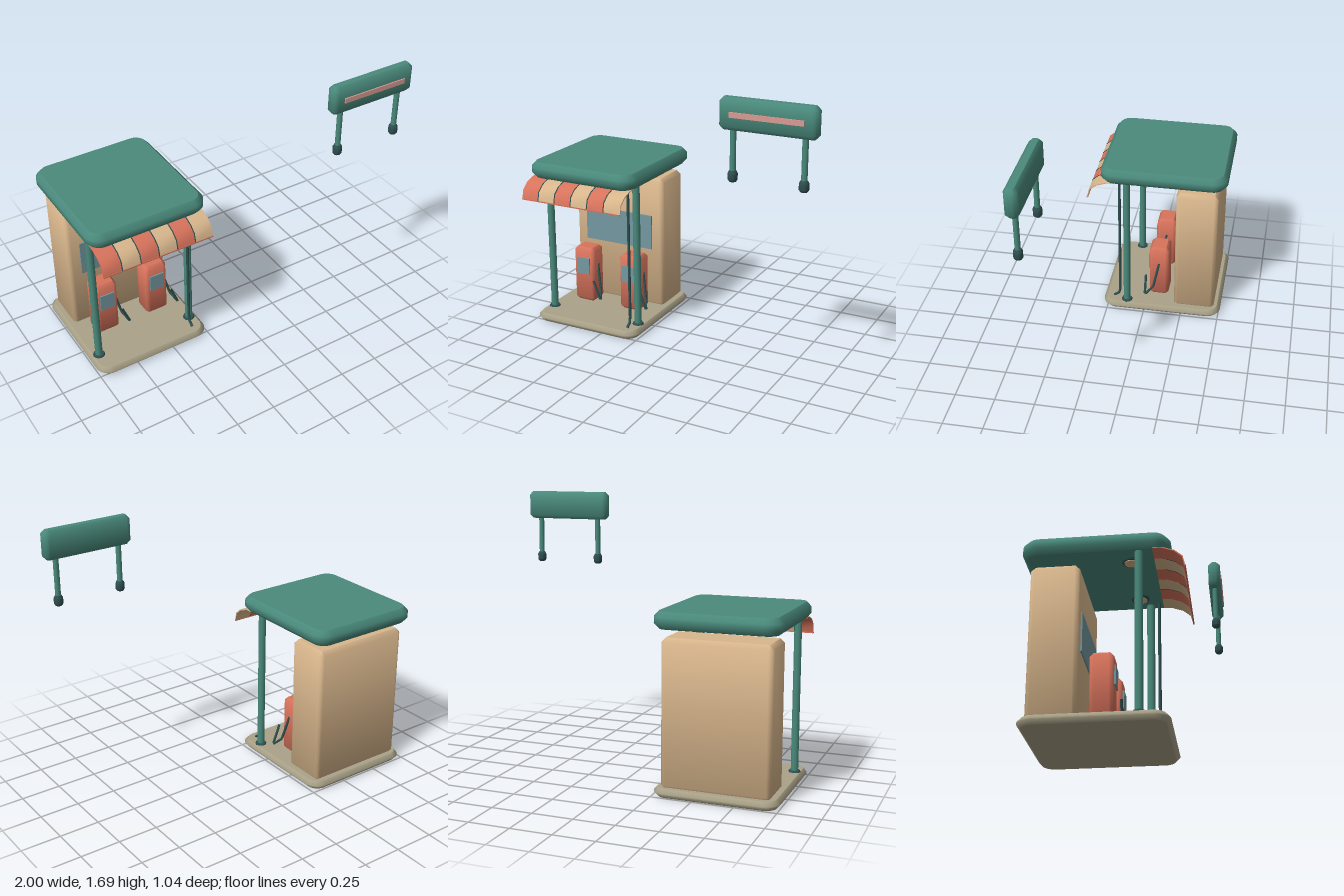
import * as THREE from 'three';
import { toCreasedNormals } from 'three/addons/utils/BufferGeometryUtils.js';

const mat = (name, color) => {
  const m = new THREE.MeshStandardMaterial({ color });
  m.name = name;
  return m;
};

export function createModel() {
  const teal = mat('teal paint', 0x4a8a7c);
  const dark = mat('dark teal metal', 0x2f4f50);
  const sand = mat('sand wall', 0xd8b68c);
  const red = mat('coral red', 0xd8735c);
  const stone = mat('stone', 0xaaa288);
  const glass = mat('glass blue', 0x7498a0);
  const pink = mat('pink stripe', 0xd99a92);

  const model = new THREE.Group();
  model.name = 'fuelStation';

  const add = (parent, name, geo, material, x = 0, y = 0, z = 0) => {
    const mesh = new THREE.Mesh(geo, material);
    mesh.name = name;
    mesh.position.set(x, y, z);
    parent.add(mesh);
    return mesh;
  };
  const group = (name, x = 0, y = 0, z = 0) => {
    const g = new THREE.Group();
    g.name = name;
    g.position.set(x, y, z);
    model.add(g);
    return g;
  };

  // Block with rounded vertical corners and chamfered top and bottom; stands on its origin.
  // The chamfer is a little steeper than 45 degrees: smooth into the sides, sharp at the caps.
  const slab = (w, h, d, radius, bevel) => {
    const a = w / 2 - bevel, b = d / 2 - bevel, r = Math.max(radius - bevel, 0.002);
    const rise = bevel * 1.1;
    const s = new THREE.Shape();
    s.absarc(a - r, b - r, r, 0, Math.PI / 2);
    s.absarc(-a + r, b - r, r, Math.PI / 2, Math.PI);
    s.absarc(-a + r, -b + r, r, Math.PI, Math.PI * 1.5);
    s.absarc(a - r, -b + r, r, Math.PI * 1.5, Math.PI * 2);
    const geo = new THREE.ExtrudeGeometry(s, {
      depth: h - 2 * rise, bevelEnabled: true, bevelThickness: rise,
      bevelSize: bevel, bevelSegments: 1, curveSegments: 5,
    });
    geo.rotateX(-Math.PI / 2).translate(0, rise, 0);
    return toCreasedNormals(geo, Math.PI / 4);
  };

  const tube = (points, radius) => {
    const path = new THREE.CurvePath();
    const v = points.map((p) => new THREE.Vector3(...p));
    for (let i = 1; i < v.length; i++) path.add(new THREE.LineCurve3(v[i - 1], v[i]));
    return new THREE.TubeGeometry(path, 24, radius, 8);
  };

  // Forecourt, shop and canopy
  const cx = -0.625, cz = -0.115;
  add(model, 'forecourt', slab(0.75, 0.053, 0.79, 0.09, 0.022), stone, cx, 0, cz);
  add(model, 'canopyRoof', slab(0.75, 0.1, 0.81, 0.095, 0.028), teal, cx, 0.979, cz);
  add(model, 'shop', slab(0.655, 0.887, 0.27, 0.03, 0.024), sand, cx, 0.04, -0.333);
  add(model, 'shopWindow', new THREE.BoxGeometry(0.495, 0.23, 0.009), glass, cx, 0.557, -0.194);

  for (const side of [-1, 1]) {
    // Canopy posts with floor flanges
    const x = cx + side * 0.318;
    add(model, 'canopyPost', new THREE.CylinderGeometry(0.023, 0.023, 0.94, 12), teal, x, 0.52, 0.12);
    add(model, 'postFlange', new THREE.CylinderGeometry(0.032, 0.038, 0.012, 12), dark, x, 0.057, 0.12);

    // Lamps under the canopy
    const lx = cx + side * 0.218;
    add(model, 'lampRim', new THREE.CylinderGeometry(0.055, 0.05, 0.014, 16), dark, lx, 0.976, 0.07);
    add(model, 'lampLens', new THREE.CylinderGeometry(0.04, 0.04, 0.006, 16), sand, lx, 0.968, 0.07);

    // Fuel pump with screen and hose
    const pump = group('fuelPump', cx + side * 0.173, 0, -0.085);
    add(pump, 'pumpBody', slab(0.15, 0.375, 0.13, 0.026, 0.02), red, 0, 0.062, 0);
    add(pump, 'pumpScreen', new THREE.BoxGeometry(0.095, 0.11, 0.009), glass, 0, 0.313, 0.069);
    add(pump, 'pumpHose', tube([
      [0.07, 0.318, 0], [0.106, 0.15, 0.033], [0.136, 0.096, 0.086], [0.085, 0.227, 0.086],
    ], 0.008), dark);
  }

  // Drainpipe beside the right-hand post
  add(model, 'drainpipe', tube([
    [-0.335, 0.99, 0.172], [-0.335, 0.083, 0.172], [-0.335, 0.053, 0.212],
  ], 0.009), dark);

  // Striped awning: six curved strips, thin ribs on the seams and a bar along the lower edge
  const awning = group('awning');
  const outer = [[0.2, 0.984], [0.25, 0.981], [0.315, 0.958], [0.357, 0.922], [0.371, 0.864]];
  const strip = (depth, lift) => {
    const top = outer.map(([z, y]) => [z + lift, y + lift]);
    const under = outer.map(([z, y]) => [z - 0.005, y - 0.005 * (y > 0.9)]).reverse();
    const section = new THREE.Shape([...top, ...under].map((p) => new THREE.Vector2(...p)));
    const geo = new THREE.ExtrudeGeometry(section, { depth, bevelEnabled: false });
    geo.rotateY(-Math.PI / 2).translate(depth / 2, 0, 0);
    return toCreasedNormals(geo, 1);
  };
  const pitch = 0.705 / 6;
  for (let i = 0; i < 6; i++) {
    const x = -0.98 + (i + 0.5) * pitch;
    add(awning, 'awningStripe', strip(pitch, 0), i % 2 ? sand : red, x);
    if (i) add(awning, 'awningRib', strip(0.006, 0.0015), dark, x - pitch / 2);
  }
  add(awning, 'awningEdge', new THREE.BoxGeometry(0.705, 0.007, 0.008), red, -0.6275, 0.864, 0.369);

  // Separate raised sign board on two legs
  const sign = group('signBoard', 0.715, 0, 0.474);
  add(sign, 'signPanel', slab(0.568, 0.178, 0.08, 0.035, 0.021), teal, 0, 1.508, 0);
  add(sign, 'signStripe', new THREE.BoxGeometry(0.425, 0.03, 0.009), pink, 0, 1.597, 0.043);
  const foot = [[0, 0], [0.02, 0], [0.028, 0.012], [0.028, 0.047], [0.02, 0.063], [0, 0.063]];
  const footGeo = toCreasedNormals(
    new THREE.LatheGeometry(foot.map((p) => new THREE.Vector2(...p)), 10), 0.65);
  for (const side of [-1, 1]) {
    add(sign, 'signLeg', new THREE.CylinderGeometry(0.017, 0.017, 0.26, 10), teal, side * 0.207, 1.39, 0);
    add(sign, 'signFoot', footGeo, dark, side * 0.207, 1.218, 0);
  }

  return model;
}
